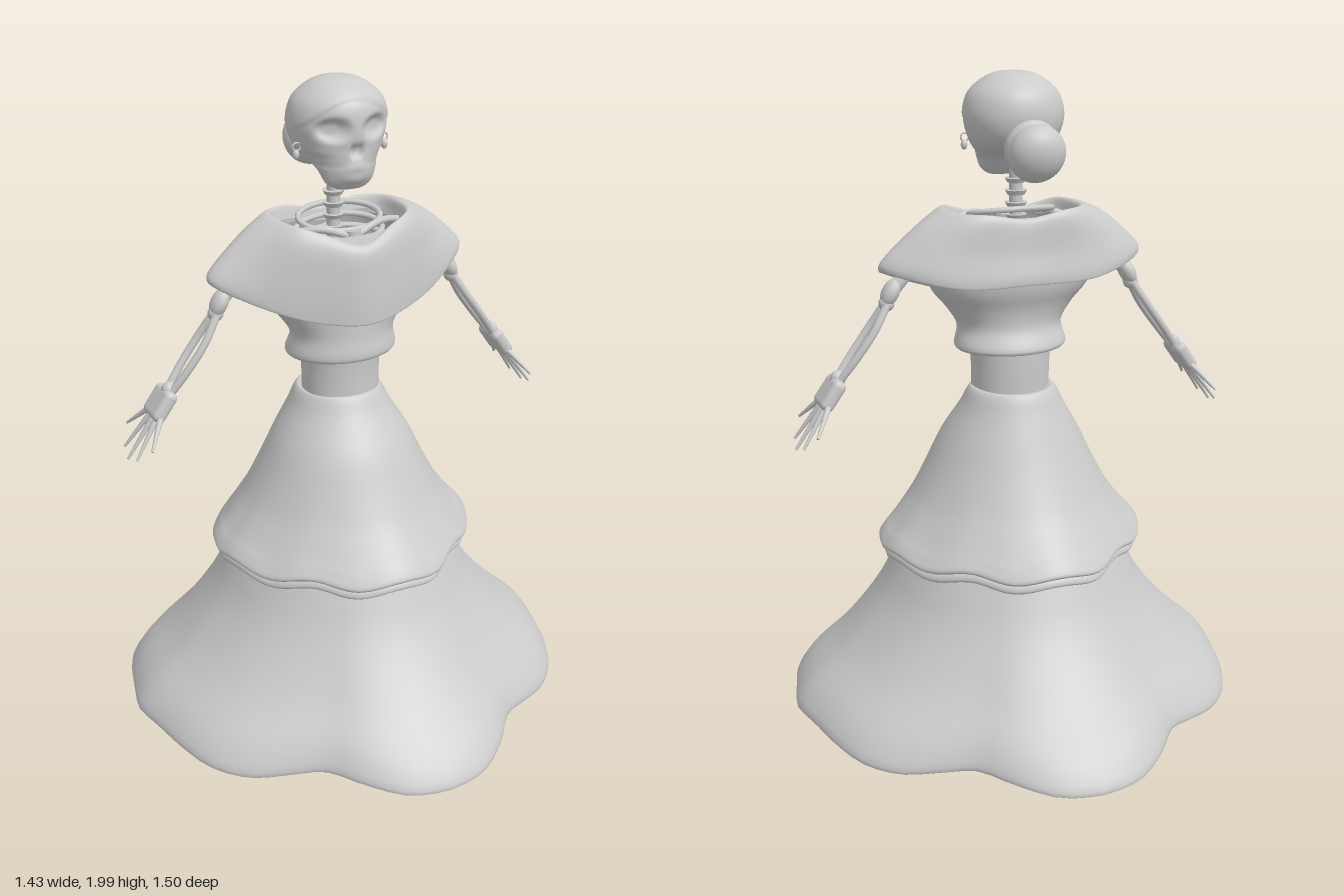
import * as THREE from 'three';
import { RoundedBoxGeometry } from 'three/addons/geometries/RoundedBoxGeometry.js';

const V = (x, y, z) => new THREE.Vector3(x, y, z);
const material = new THREE.MeshStandardMaterial({ color: 0xcccccc, side: THREE.DoubleSide });

function add(parent, name, geometry, pos) {
  const mesh = new THREE.Mesh(geometry, material);
  mesh.name = name;
  if (pos) mesh.position.copy(pos);
  parent.add(mesh);
  return mesh;
}

// Skin closed rings (listed bottom to top, each running front -> +x -> back -> -x)
function skin(rings) {
  const n = rings[0].length, index = [];
  for (let i = 0; i < rings.length - 1; i++) {
    for (let j = 0; j < n; j++) {
      const a = i * n + j, b = i * n + (j + 1) % n;
      index.push(a, b, b + n, a, b + n, a + n);
    }
  }
  const g = new THREE.BufferGeometry().setFromPoints(rings.flat());
  g.setIndex(index);
  g.computeVertexNormals();
  return g;
}

// Smooth loft through mirrored half-outlines
function loft(rows, around, up) {
  const rings = rows.map(half => {
    const mirrored = half.slice(1, -1).reverse().map(p => V(-p.x, p.y, p.z));
    return new THREE.CatmullRomCurve3([...half, ...mirrored], true).getPoints(around).slice(0, -1);
  });
  const columns = rings[0].map((_, j) => new THREE.CatmullRomCurve3(rings.map(r => r[j])).getPoints(up));
  return skin(Array.from({ length: up + 1 }, (_, i) => columns.map(c => c[i])));
}

// Half ellipse from its height, half width, front z and back z
const oval = ([y, rx, front, back]) => Array.from({ length: 9 }, (_, i) => {
  const a = Math.PI * i / 8;
  return V(rx * Math.sin(a), y, (front + back) / 2 + (front - back) / 2 * Math.cos(a));
});

// Smooth table over a quarter turn, mirrored into all four quarters (from side to front or back)
function quarterTable(values) {
  const curve = new THREE.SplineCurve(values.map((v, i) => new THREE.Vector2(i, v)));
  return a => curve.getPoint(Math.asin(Math.min(1, Math.abs(Math.cos(a)))) / (Math.PI / 2)).y;
}

// Skirt tier: profile of [radius, height, wave weight]; the waist sits slightly back
function skirt(profile, radius, lift) {
  const pts = new THREE.CatmullRomCurve3(profile.map(p => V(...p))).getPoints(36);
  return skin(pts.map(p => Array.from({ length: 96 }, (_, j) => {
    const a = j / 96 * Math.PI * 2;
    const r = p.x * (1 + p.z * (radius(a) - 1));
    const back = 0.02 * THREE.MathUtils.smoothstep(p.y, 0.85, 1.04);
    return V(r * Math.sin(a), p.y + p.z * lift(a), r * Math.cos(a) - back);
  })));
}

// Tapered bone between two points
function bone(parent, name, a, b, ra, rb = ra) {
  const d = b.clone().sub(a);
  const m = add(parent, name, new THREE.CylinderGeometry(rb, ra, d.length(), 10), a.clone().lerp(b, 0.5));
  m.quaternion.setFromUnitVectors(V(0, 1, 0), d.normalize());
}

const tube = (points, r, closed = false) =>
  new THREE.TubeGeometry(new THREE.CatmullRomCurve3(points, closed), 32, r, 8, closed);

function buildSkirt(g) {
  const hemR = quarterTable([0.98, 0.96, 0.96, 0.96, 0.93, 0.885, 0.87, 0.94, 1.005, 1.025]);
  const hemY = quarterTable([0.045, 0.045, 0.035, 0.02, 0.015, 0.03, 0.045, 0.035, 0.015, 0.01]);
  add(g, 'lowerSkirt', skirt([[0.69, 0.025, 1], [0.715, 0.004, 1], [0.73, 0.01, 1], [0.69, 0.08, 0.9], [0.575, 0.19, 0.7],
    [0.482, 0.3, 0.45], [0.416, 0.4, 0.25], [0.368, 0.5, 0.15], [0.23, 0.8, 0], [0.1, 1.02, 0]], hemR, hemY));
  const tierR = quarterTable([1, 0.975, 0.95, 0.92, 0.99, 1.02]);
  const tierY = a => 0.009 * Math.cos(9 * Math.acos(Math.min(1, Math.abs(Math.cos(a)))));
  add(g, 'skirtTrim', skirt([[0.34, 0.535, 1], [0.395, 0.515, 1], [0.41, 0.522, 1], [0.405, 0.54, 1], [0.36, 0.565, 1]], tierR, tierY));
  add(g, 'upperSkirt', skirt([[0.37, 0.565, 1], [0.415, 0.548, 1], [0.425, 0.558, 1], [0.412, 0.58, 1], [0.385, 0.61, 0.8],
    [0.345, 0.66, 0.5], [0.31, 0.71, 0.3], [0.262, 0.8, 0.1], [0.213, 0.9, 0], [0.16, 0.99, 0],
    [0.138, 1.035, 0], [0.125, 1.048, 0], [0.1, 1.04, 0]], tierR, tierY));
}

function buildTop(g) {
  add(g, 'waistBand', loft([[1.02, 0.122, 0.105, -0.11], [1.13, 0.124, 0.104, -0.112], [1.22, 0.135, 0.11, -0.11]].map(oval), 48, 10));
  add(g, 'bodice', loft([[1.2, 0.13, 0.108, -0.11], [1.168, 0.165, 0.13, -0.138], [1.18, 0.176, 0.137, -0.144],
    [1.24, 0.165, 0.13, -0.118], [1.3, 0.2, 0.128, -0.122], [1.36, 0.25, 0.13, -0.143], [1.42, 0.27, 0.13, -0.15],
    [1.5, 0.235, 0.12, -0.14], [1.555, 0.185, 0.105, -0.125]].map(oval), 64, 32));
  // Off-the-shoulder ruffle: half outlines run from chest over the shoulder to the back
  const outline = (...points) => points.map(p => V(...p));
  const moved = (row, scale, dy) => row.map(p => V(p.x * scale, p.y + dy, p.z * scale));
  const hem = outline([0, 1.305, 0.185], [0.15, 1.322, 0.145], [0.29, 1.37, 0.088], [0.415, 1.432, -0.02],
    [0.34, 1.418, -0.11], [0.2, 1.392, -0.165], [0, 1.39, -0.172]);
  const drape = outline([0, 1.43, 0.182], [0.14, 1.45, 0.145], [0.26, 1.48, 0.09], [0.355, 1.52, -0.025],
    [0.3, 1.505, -0.108], [0.18, 1.49, -0.155], [0, 1.48, -0.158]);
  const shoulder = outline([0, 1.525, 0.168], [0.12, 1.55, 0.135], [0.21, 1.572, 0.088], [0.275, 1.58, -0.03],
    [0.235, 1.58, -0.1], [0.14, 1.585, -0.146], [0, 1.572, -0.145]);
  const rim = outline([0, 1.54, 0.148], [0.11, 1.577, 0.112], [0.18, 1.6, 0.078], [0.204, 1.603, -0.02],
    [0.187, 1.603, -0.1], [0.115, 1.6, -0.135], [0, 1.582, -0.132]);
  add(g, 'shoulderRuffle', loft([moved(hem, 0.88, 0.025), hem, moved(hem, 1.01, 0.02), drape, shoulder, rim,
    moved(rim, 0.92, -0.04)], 96, 40));
}

function buildSkeleton(g) {
  bone(g, 'spine', V(0, 1.15, -0.05), V(0, 1.8, -0.05), 0.02);
  for (let i = 0; i < 10; i++) {
    add(g, 'vertebra', new THREE.CylinderGeometry(0.034, 0.026, 0.014, 12), V(0, 1.36 + i * 0.036, -0.05));
  }
  bone(g, 'breastbone', V(0, 1.4, 0.1), V(0, 1.565, 0.08), 0.016, 0.024);
  for (let i = 0; i < 5; i++) {
    const w = 0.13 + i * 0.008, y = 1.585 - i * 0.038;
    const hoop = Array.from({ length: 16 }, (_, k) => {
      const a = k / 16 * Math.PI * 2;
      return V(w * Math.sin(a), y - 0.02 * Math.cos(a), -0.01 + 0.085 * Math.cos(a));
    });
    add(g, 'rib', tube(hoop, 0.009, true));
  }
  for (const s of [-1, 1]) {
    add(g, 'collarbone', tube([V(0.01 * s, 1.55, 0.085), V(0.1 * s, 1.575, 0.06), V(0.24 * s, 1.54, -0.02)], 0.011));
  }
}

function buildHead(g) {
  const head = loft([[1.688, 0.002, 0.055, 0.05], [1.69, 0.045, 0.08, 0.03], [1.71, 0.073, 0.094, 0.005], [1.745, 0.09, 0.1, -0.03],
    [1.775, 0.112, 0.107, -0.1], [1.81, 0.132, 0.107, -0.15], [1.87, 0.147, 0.112, -0.167],
    [1.93, 0.133, 0.102, -0.155], [1.965, 0.1, 0.072, -0.125], [1.988, 0.058, 0.028, -0.085], [1.996, 0.002, -0.027, -0.03]].map(oval), 112, 90);
  // Carve sockets, nose and cheeks, and raise the hair along its edge
  const p = head.attributes.position, v = V(0, 0, 0), c = V(0, 1.85, -0.03);
  const bump = (x, y, w, h) => Math.exp(-(((x / w) ** 2 + (y / h) ** 2) ** 2));
  for (let i = 0; i < p.count; i++) {
    v.fromBufferAttribute(p, i);
    const ax = Math.abs(v.x);
    const hair = Math.max(THREE.MathUtils.smoothstep(v.y - 1.95 + 4 * v.x * v.x, -0.005, 0.005),
      v.y > 1.77 ? THREE.MathUtils.smoothstep(-v.z, 0, 0.012) : 0);
    if (v.z > 0.01) {
      v.z -= 0.024 * bump(ax - 0.066, v.y - 1.868, 0.042, 0.03) + 0.014 * bump(ax - 0.009, v.y - 1.805, 0.011, 0.02);
      v.z += 0.01 * bump(v.x, v.y - 1.74, 0.055, 0.03);
      v.x *= 1 - 0.06 * bump(0, v.y - 1.775, 1, 0.02);
    }
    v.sub(c).multiplyScalar(1 + 0.028 * hair).add(c);
    p.setXYZ(i, v.x, v.y, v.z);
  }
  head.computeVertexNormals();
  add(g, 'head', head);
  // Hair bun and its tie
  const bun = new THREE.Group();
  bun.name = 'hairBun';
  bun.position.set(0, 1.785, -0.2);
  bun.rotation.x = -0.3;
  add(bun, 'bun', new THREE.SphereGeometry(1, 32, 20), V(0, 0, -0.014)).scale.set(0.085, 0.085, 0.062);
  add(bun, 'bunTie', new THREE.TorusGeometry(0.062, 0.02, 12, 36), V(0, 0, 0.034));
  g.add(bun);
  for (const s of [-1, 1]) {
    add(g, 'earringHook', new THREE.TorusGeometry(0.012, 0.003, 6, 16), V(0.141 * s, 1.81, 0));
    add(g, 'earringDrop', new THREE.SphereGeometry(0.01, 12, 10), V(0.143 * s, 1.788, 0)).scale.y = 1.5;
  }
}

function buildArm(side) {
  const arm = new THREE.Group();
  arm.name = side > 0 ? 'leftArm' : 'rightArm';
  const P = (x, y, z) => V(side * x, y, z);
  const z = -0.022;
  add(arm, 'shoulderJoint', new THREE.SphereGeometry(0.035, 16, 12), P(0.24, 1.53, z));
  bone(arm, 'upperArm', P(0.24, 1.53, z), P(0.385, 1.37, z), 0.018, 0.022);
  const elbow = add(arm, 'elbow', new THREE.SphereGeometry(0.034, 16, 12), P(0.385, 1.37, z));
  elbow.scale.set(0.75, 1.35, 0.95);
  elbow.rotation.z = side * 0.5;
  add(arm, 'elbowKnob', new THREE.SphereGeometry(0.024, 14, 10), P(0.398, 1.338, z));
  // Paired forearm bones bow apart, then meet at the wrist
  for (const s of [-1, 1]) {
    add(arm, 'forearmBone', tube([P(0.395, 1.345, z + s * 0.01), P(0.445, 1.265, z + s * 0.03),
      P(0.5, 1.19, z + s * 0.03), P(0.56, 1.11, z + s * 0.014)], 0.0125));
  }
  add(arm, 'wrist', new THREE.SphereGeometry(0.024, 14, 10), P(0.553, 1.125, z));
  const palm = add(arm, 'palm', new RoundedBoxGeometry(0.042, 0.1, 0.108, 4, 0.018), P(0.58, 1.085, -0.028));
  palm.rotation.z = side * 0.62;
  // Five fingers fan out from the palm, the outer ones ending higher
  for (let i = -2; i <= 2; i++) {
    const spread = i * i / 4;
    bone(arm, 'finger', P(0.595, 1.06, -0.028 + i * 0.021),
      P(0.69 - 0.04 * spread, 0.922 + 0.065 * spread, -0.03 + i * 0.057), 0.01, 0.004);
  }
  return arm;
}

export function createModel() {
  const model = new THREE.Group();
  model.name = 'skeletonLady';
  buildSkirt(model);
  buildTop(model);
  buildSkeleton(model);
  buildHead(model);
  model.add(buildArm(1), buildArm(-1));
  return model;
}
